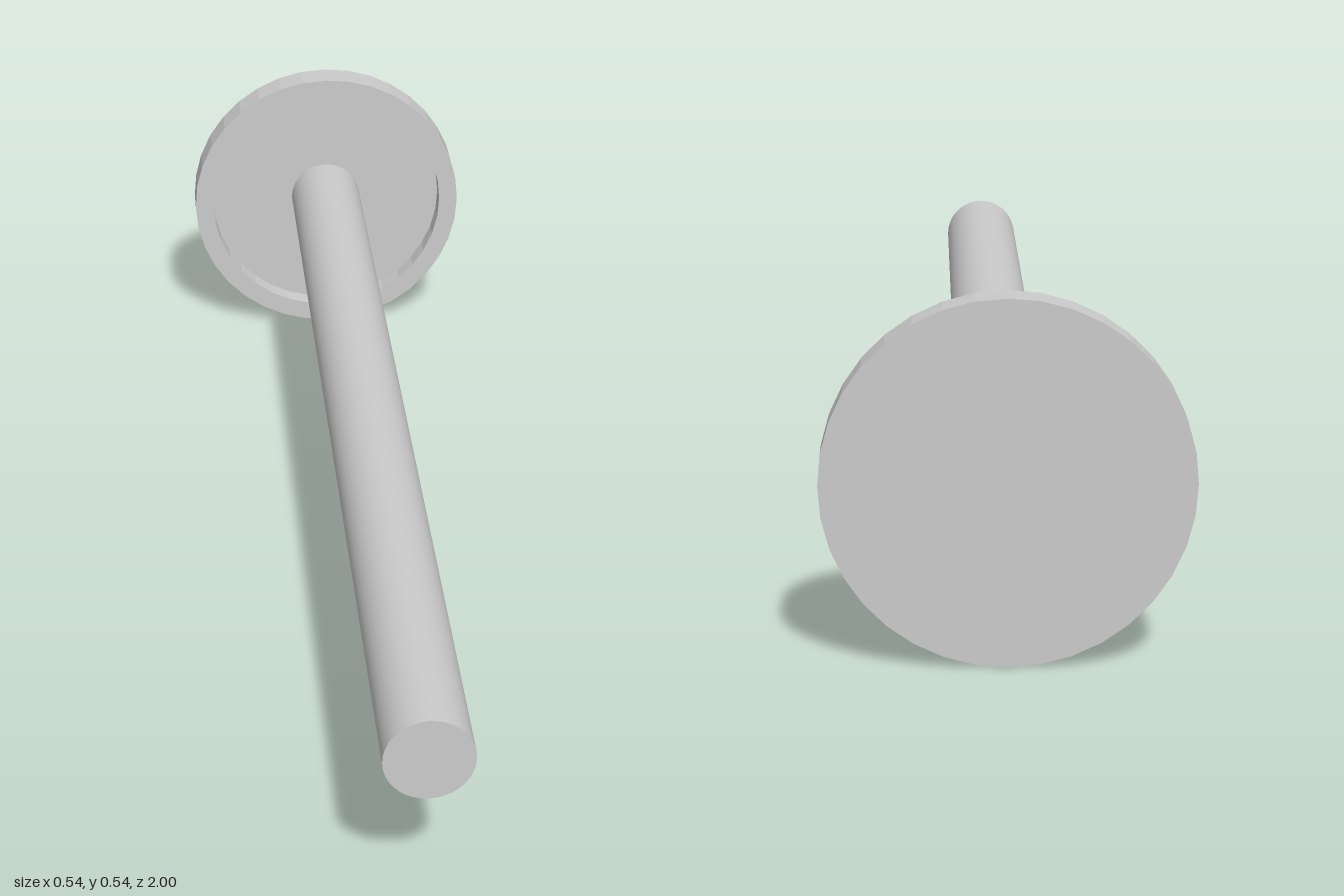
import * as THREE from 'three';

export function createModel() {
  const group = new THREE.Group();
  const sides = 36;
  const headR = 0.272, recessR = 0.235, rodR = 0.07;
  const headDepth = 0.06, floorDepth = 0.023;

  // Dished round head: flat back, raised rim, recessed floor
  const profile = [
    [0, 0], [headR, 0], [headR, headDepth],
    [recessR, headDepth], [recessR, floorDepth], [0, floorDepth],
  ].map(([r, y]) => new THREE.Vector2(r, y));
  const head = new THREE.Mesh(
    new THREE.LatheGeometry(profile, sides).rotateX(Math.PI / 2),
    new THREE.MeshStandardMaterial({ color: 0xcccccc, flatShading: true })
  );
  head.name = 'head';
  head.position.set(0, headR, -1);

  // Long smooth rod running forward from the recessed floor
  const length = 2 - floorDepth;
  const rod = new THREE.Mesh(
    new THREE.CylinderGeometry(rodR, rodR, length, sides).rotateX(Math.PI / 2),
    new THREE.MeshStandardMaterial({ color: 0xcccccc })
  );
  rod.name = 'rod';
  rod.position.set(0, headR, 1 - length / 2);

  group.add(head, rod);
  return group;
}
